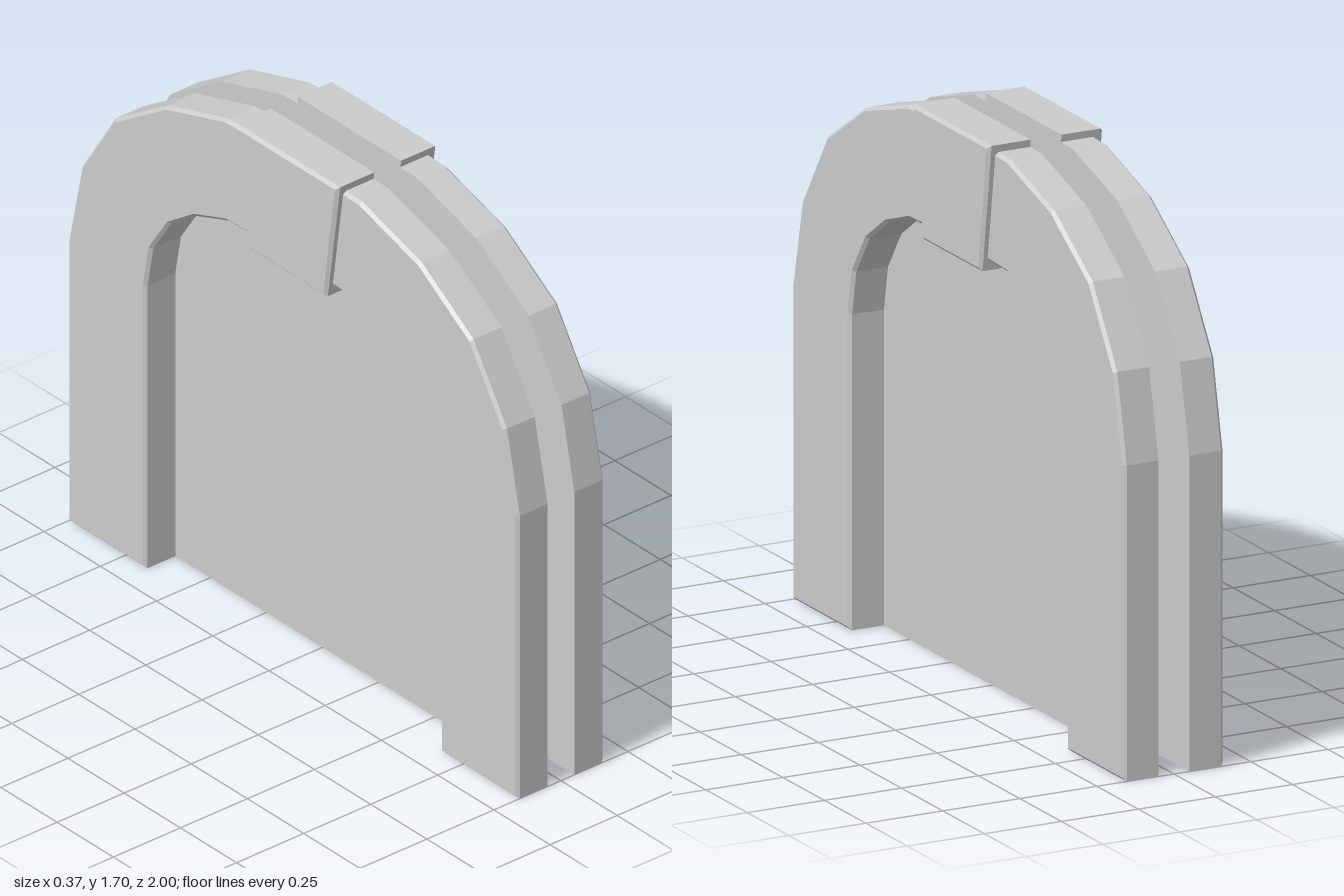
import * as THREE from 'three';

const material = new THREE.MeshStandardMaterial({ color: 0xcccccc, flatShading: true });
const V = (p) => new THREE.Vector2(p[0], p[1]);

// Half profiles running from the ground up to the crown
const outer = [[1, 0], [1, 0.945], [0.943, 1.21], [0.795, 1.44], [0.565, 1.59], [0.3, 1.67], [0, 1.68]].map(V);
const inner = [[0.655, 0], [0.655, 0.945], [0.63, 1.08], [0.55, 1.2], [0.435, 1.28], [0.295, 1.33], [0, 1.342]].map(V);

// Full left-to-right curve (counter-clockwise) from a half profile
function mirrored(half) {
  const rest = half.slice(0, -1).reverse().map((p) => new THREE.Vector2(-p.x, p.y));
  return [...half, ...rest];
}

// Mitred inset of a counter-clockwise outline
function inset(pts, d) {
  const n = pts.length;
  const normal = (a, b) => new THREE.Vector2(a.y - b.y, b.x - a.x).normalize();
  return pts.map((p, i) => {
    const n1 = normal(pts[(i + n - 1) % n], p);
    const n2 = normal(p, pts[(i + 1) % n]);
    return n1.clone().add(n2).multiplyScalar(d / (1 + n1.dot(n2))).add(p);
  });
}

// Slab from depth z0 to z1, chamfered only around its z1 face
function chamferedSlab(pts, z0, z1, c) {
  const small = inset(pts, c);
  const rings = [[pts, z0], [pts, z1 - c], [small, z1]];
  const pos = [];
  const put = (r, i) => pos.push(rings[r][0][i].x, rings[r][0][i].y, rings[r][1]);
  const n = pts.length;
  for (let r = 0; r < 2; r++) {
    for (let i = 0; i < n; i++) {
      const j = (i + 1) % n;
      put(r, i); put(r, j); put(r + 1, j);
      put(r, i); put(r + 1, j); put(r + 1, i);
    }
  }
  for (const [a, b, d] of THREE.ShapeUtils.triangulateShape(pts, [])) {
    put(2, a); put(2, b); put(2, d);
    put(0, a); put(0, d); put(0, b);
  }
  const g = new THREE.BufferGeometry();
  g.setAttribute('position', new THREE.Float32BufferAttribute(pos, 3));
  g.computeVertexNormals();
  return g;
}

export function createModel() {
  const model = new THREE.Group();
  const add = (name, geometry, turn) => {
    const mesh = new THREE.Mesh(geometry, material);
    mesh.name = name;
    mesh.rotation.y = turn;
    model.add(mesh);
  };

  // Thin central panel, its edge hidden between the two arches
  const panelHalf = inner.map((p, i) => new THREE.Vector2(
    THREE.MathUtils.lerp(p.x, outer[i].x, 0.16),
    THREE.MathUtils.lerp(p.y, outer[i].y, 0.2)));
  const panel = new THREE.ExtrudeGeometry(new THREE.Shape(mirrored(panelHalf)), { depth: 0.1, bevelEnabled: false });
  panel.translate(0, 0, -0.05);
  add('panel', panel, Math.PI / 2);

  // Arch frame and keystone on each face of the panel
  const archOutline = [...mirrored(outer), ...mirrored(inner).reverse()];
  const keyOutline = [[0.175, 1.305], [0.23, 1.695], [-0.23, 1.695], [-0.175, 1.305]].map(V);
  const arch = chamferedSlab(archOutline, 0.05, 0.163, 0.01);
  const keystone = chamferedSlab(keyOutline, 0.05, 0.187, 0.01);
  for (const [side, turn] of [['left', Math.PI / 2], ['right', -Math.PI / 2]]) {
    add(side + 'Arch', arch, turn);
    add(side + 'Keystone', keystone, turn);
  }
  return model;
}
